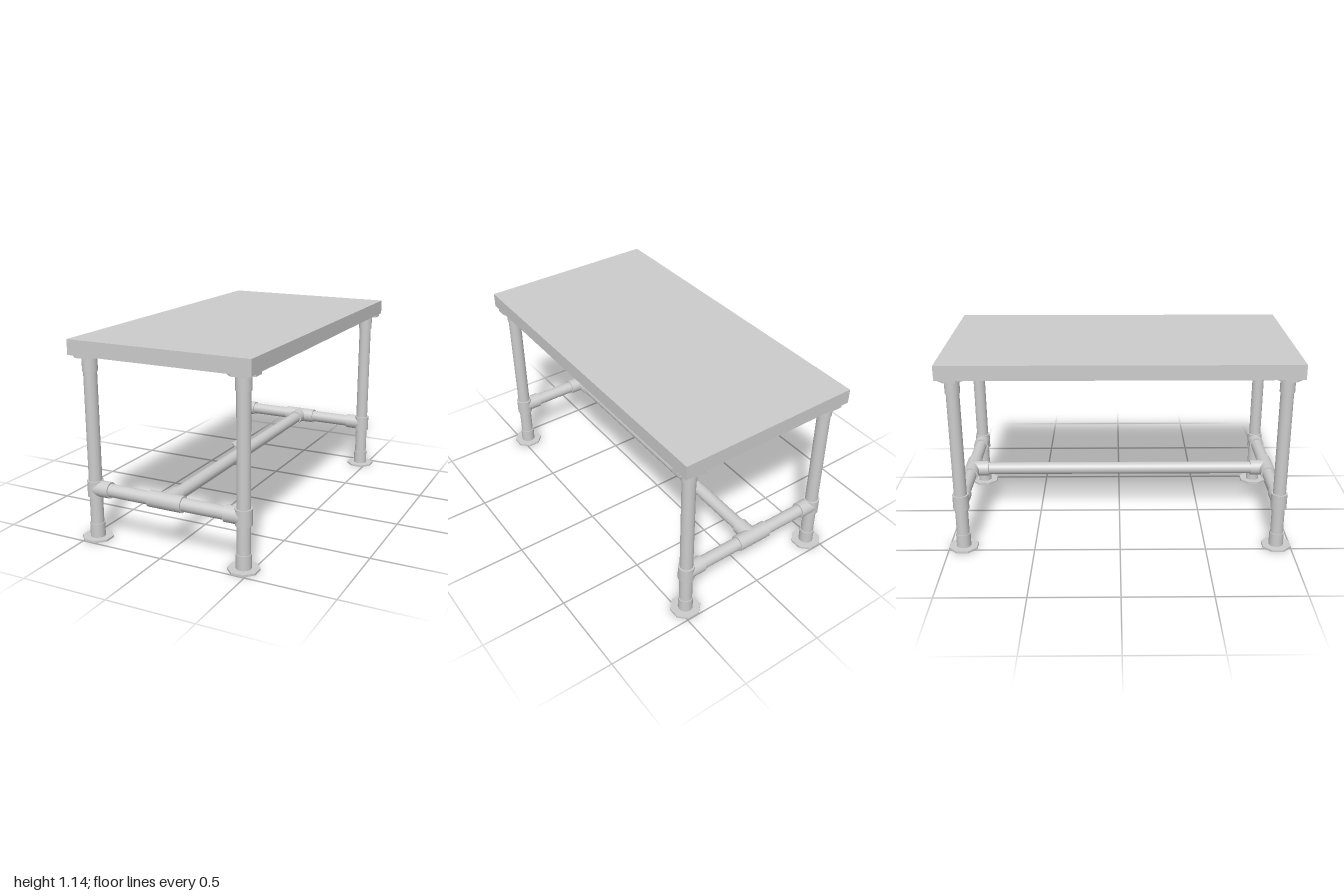
import * as THREE from 'three';

const LEG_X = 0.457, LEG_Z = 0.918, RAIL_Y = 0.297;
const PIPE = 0.037, SOCKET = 0.042, TEE = 0.046;
const TOP_Y = 1.055, TOP_H = 0.085, FLANGE_H = 0.012, SOCKET_H = 0.081;

export function createModel() {
  const model = new THREE.Group();
  const material = new THREE.MeshStandardMaterial({ color: 0xcccccc });

  // Round pipe from point a to point b
  function pipe(name, a, b, radius, parent) {
    const from = new THREE.Vector3(...a), to = new THREE.Vector3(...b);
    const dir = to.clone().sub(from);
    const mesh = new THREE.Mesh(new THREE.CylinderGeometry(radius, radius, dir.length(), 32), material);
    mesh.position.copy(from).add(to).multiplyScalar(0.5);
    mesh.quaternion.setFromUnitVectors(new THREE.Vector3(0, 1, 0), dir.normalize());
    mesh.name = name;
    parent.add(mesh);
  }

  // Octagonal mounting plate with its flats along the table sides
  function flange(name, x, y, z, parent) {
    const r = 0.081 / Math.cos(Math.PI / 8);
    const geometry = new THREE.CylinderGeometry(r, r, FLANGE_H, 8).toNonIndexed();
    geometry.computeVertexNormals();
    geometry.rotateY(Math.PI / 8);
    const mesh = new THREE.Mesh(geometry, material);
    mesh.position.set(x, y + FLANGE_H / 2, z);
    mesh.name = name;
    parent.add(mesh);
  }

  // Table top
  const top = new THREE.Mesh(new THREE.BoxGeometry(1.075, TOP_H, 2), material);
  top.position.y = TOP_Y + TOP_H / 2;
  top.name = 'tableTop';
  model.add(top);

  for (const sz of [1, -1]) {
    const z = sz * LEG_Z;
    const end = new THREE.Group();
    end.name = sz > 0 ? 'frontFrame' : 'backFrame';
    model.add(end);

    // Legs with flanges, sockets and tee fittings
    for (const sx of [1, -1]) {
      const x = sx * LEG_X;
      const leg = new THREE.Group();
      leg.name = sx > 0 ? 'leftLeg' : 'rightLeg';
      end.add(leg);
      const ceiling = TOP_Y - FLANGE_H;
      pipe('legPipe', [x, FLANGE_H, z], [x, ceiling, z], PIPE, leg);
      flange('footFlange', x, 0, z, leg);
      flange('topFlange', x, ceiling, z, leg);
      pipe('footSocket', [x, FLANGE_H, z], [x, FLANGE_H + SOCKET_H, z], SOCKET, leg);
      pipe('topSocket', [x, ceiling - SOCKET_H, z], [x, ceiling, z], SOCKET, leg);
      pipe('legTeeSleeve', [x, RAIL_Y - TEE, z], [x, RAIL_Y + TEE, z], TEE, leg);
      pipe('legTeeArm', [x, RAIL_Y, z], [sx * 0.355, RAIL_Y, z], TEE, leg);
    }

    // Cross rail with its central tee
    pipe('crossRail', [-LEG_X, RAIL_Y, z], [LEG_X, RAIL_Y, z], PIPE, end);
    pipe('centreTeeSleeve', [-0.103, RAIL_Y, z], [0.103, RAIL_Y, z], TEE, end);
    pipe('centreTeeArm', [0, RAIL_Y, z], [0, RAIL_Y, sz * 0.816], TEE, end);
  }

  // Long stretcher joining both frames
  pipe('stretcher', [0, RAIL_Y, -LEG_Z], [0, RAIL_Y, LEG_Z], PIPE, model);
  return model;
}
